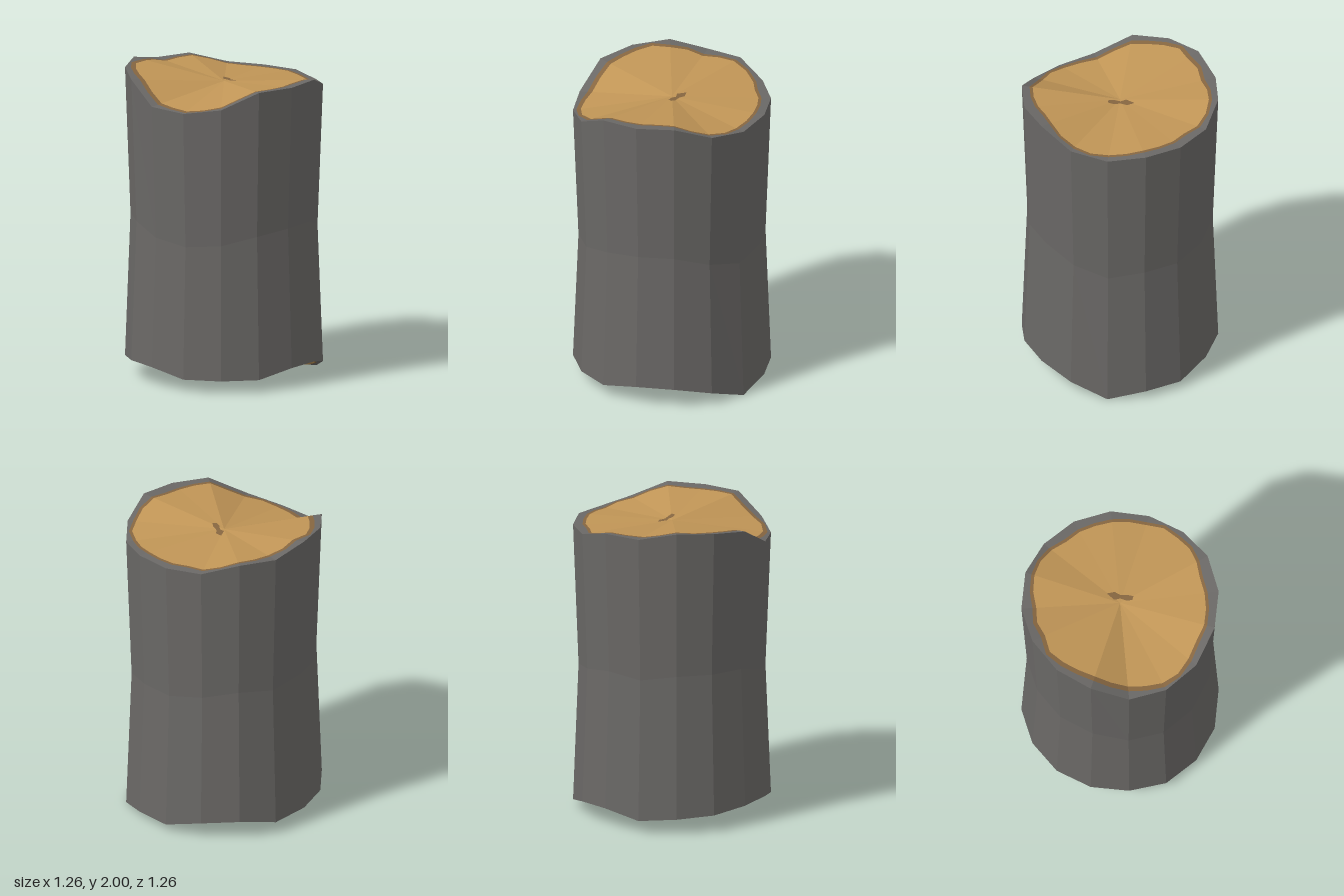
import * as THREE from 'three';

const SIDES = 16, R = 0.63, WAIST = 0.595;

// rim heights, going from +x round through +z
const topRim = [1.86, 1.885, 1.965, 1.955, 1.95, 1.845, 1.81, 1.825, 1.957, 1.985, 2.0, 1.953, 1.955, 1.89, 1.88, 1.88];
const lowRim = [0, 0.08, 0.13, 0.13, 0.08, 0.08, 0.08, 0.13, 0.13, 0.11, 0.1, 0.08, 0.125, 0.11, 0.05, 0.05];
const TOP_CENTRE = 1.9, LOW_CENTRE = 0.08;

// wavy radius of the pale wood, two samples per side
const woodEdge = [
  0.565, 0.585, 0.575, 0.57, 0.55, 0.53, 0.54, 0.55, 0.56, 0.55, 0.565, 0.585, 0.58, 0.56, 0.545, 0.54,
  0.54, 0.545, 0.56, 0.575, 0.54, 0.55, 0.535, 0.555, 0.57, 0.575, 0.565, 0.54, 0.55, 0.55, 0.555, 0.56,
];

const material = (name, color) => {
  const m = new THREE.MeshStandardMaterial({ color });
  m.name = name;
  return m;
};

function ringPoint(k, radius, y) {
  const a = (k / SIDES) * Math.PI * 2;
  return new THREE.Vector3(radius * Math.cos(a), y, radius * Math.sin(a));
}

// point on the straight-edged rim at a fractional side number
function rimAt(heights, s) {
  const k = Math.floor(s) % SIDES, n = (k + 1) % SIDES;
  return ringPoint(k, R, heights[k]).lerp(ringPoint(n, R, heights[n]), s - Math.floor(s));
}

// separate triangles give faceted normals
function facetedMesh(name, triangles, mat) {
  const geometry = new THREE.BufferGeometry().setFromPoints(triangles);
  geometry.computeVertexNormals();
  const mesh = new THREE.Mesh(geometry, mat);
  mesh.name = name;
  return mesh;
}

// bark wall: low rim, narrow waist, top rim
function barkWall(mat) {
  const tris = [];
  const column = (k) => [
    ringPoint(k, R, lowRim[k]),
    ringPoint(k, WAIST, (lowRim[k] + topRim[k]) / 2 - 0.01),
    ringPoint(k, R, topRim[k]),
  ];
  for (let k = 0; k < SIDES; k++) {
    const a = column(k), b = column((k + 1) % SIDES);
    for (let i = 0; i < 2; i++) {
      tris.push(a[i], a[i + 1], b[i + 1], a[i], b[i + 1], b[i]);
    }
  }
  return facetedMesh('barkWall', tris, mat);
}

// sawn end: wood fan, thin inner bark band and outer bark edge in one surface
function sawnEnd(name, heights, centreY, up, mats, bandScale) {
  const group = new THREE.Group();
  group.name = name;
  const centre = new THREE.Vector3(0, centreY, 0);
  const wood = [], band = [], edge = [];
  const count = SIDES * 2;
  const spoke = (j) => {
    const rim = rimAt(heights, j / 2);
    const rimRadius = Math.hypot(rim.x, rim.z);
    const t = woodEdge[j] / rimRadius;
    const width = (0.02 + 0.012 * Math.max(0, -rim.x / R)) * bandScale;
    const t2 = Math.min(t + width / rimRadius, 0.985);
    return [t, t2, 1].map((f) => centre.clone().lerp(rim, f));
  };
  for (let j = 0; j < count; j++) {
    let a = spoke(j), b = spoke((j + 1) % count);
    if (!up) [a, b] = [b, a];
    wood.push(centre, b[0], a[0]);
    [band, edge].forEach((list, i) => {
      list.push(a[i], b[i], b[i + 1], a[i], b[i + 1], a[i + 1]);
    });
  }
  group.add(
    facetedMesh('wood', wood, mats.wood),
    facetedMesh('innerBark', band, mats.innerBark),
    facetedMesh('barkEdge', edge, mats.bark),
  );
  return group;
}

// dark pith mark draped over the top end
function pithMark(mat) {
  const outline = [
    [0.034, -0.098], [0.06, -0.054], [0.05, -0.013], [0.064, 0.037], [0.064, 0.07],
    [0.037, 0.07], [0.024, 0.037], [0.027, -0.007], [0.007, -0.04],
  ];
  const shape = new THREE.Shape(outline.map(([x, z]) => new THREE.Vector2(x, -z)));
  const geometry = new THREE.ShapeGeometry(shape).rotateX(-Math.PI / 2);
  const p = geometry.attributes.position;
  for (let i = 0; i < p.count; i++) {
    const x = p.getX(i), z = p.getZ(i);
    const turn = (Math.atan2(z, x) / (Math.PI * 2) + 1) % 1;
    const rim = rimAt(topRim, turn * SIDES);
    const t = Math.hypot(x, z) / Math.hypot(rim.x, rim.z);
    p.setY(i, TOP_CENTRE + t * (rim.y - TOP_CENTRE) + 0.005);
  }
  geometry.computeVertexNormals();
  const mesh = new THREE.Mesh(geometry, mat);
  mesh.name = 'pith';
  return mesh;
}

export function createModel() {
  const mats = {
    bark: material('bark grey', 0x6a6866),
    wood: material('pale wood', 0xc09556),
    innerBark: material('inner bark brown', 0x866640),
  };
  const log = new THREE.Group();
  log.name = 'log';
  log.add(
    barkWall(mats.bark),
    sawnEnd('topEnd', topRim, TOP_CENTRE, true, mats, 1),
    sawnEnd('bottomEnd', lowRim, LOW_CENTRE, false, mats, 0.5),
    pithMark(mats.innerBark),
  );
  return log;
}
